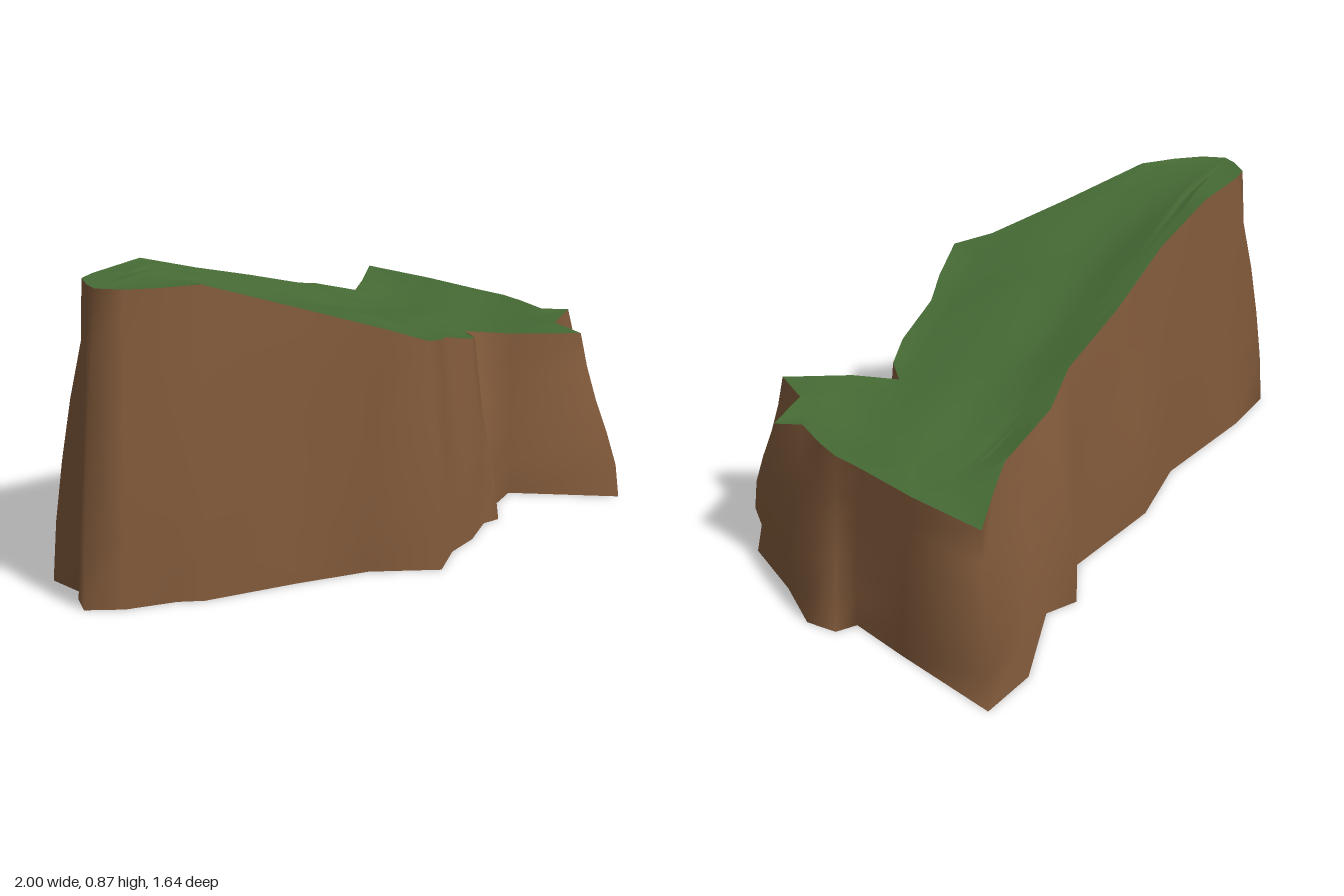
import * as THREE from 'three';
import { mergeVertices } from 'three/addons/utils/BufferGeometryUtils.js';

// Cliff outline as [x, z] pairs: foot on the ground and matching rim at the top.
const FOOT = [
  [0.76, -0.82], [0.84, -0.45], [0.88, -0.24], [0.95, -0.24], [1, -0.15], [0.97, 0.05], [0.96, 0.3], [0.9, 0.38],
  [0.86, 0.55], [0.58, 0.35], [0.47, 0.43], [0.41, 0.54], [0.35, 0.55], [0.24, 0.65], [0.13, 0.71], [0.02, 0.82],
  [-0.17, 0.73], [-0.4, 0.71], [-0.68, 0.7], [-0.75, 0.67], [-0.9, 0.65], [-1, 0.6], [-0.98, 0.52], [-0.95, 0.48],
  [-0.98, 0.35], [-0.8, 0.24], [-0.42, 0.07], [-0.2, -0.12], [0.15, -0.28], [0.26, -0.46], [0.37, -0.47], [0.58, -0.73],
];
const RIM = [
  [0.71, -0.71], [0.79, -0.45], [0.84, -0.23], [0.87, -0.12], [0.875, -0.03], [0.87, 0.1], [0.94, 0.15], [0.8, 0.27],
  [0.79, 0.42], [0.6, 0.32], [0.49, 0.22], [0.46, 0.32], [0.38, 0.41], [0.22, 0.52], [0.13, 0.63], [0.01, 0.75],
  [-0.1, 0.69], [-0.36, 0.64], [-0.63, 0.6], [-0.75, 0.58], [-0.84, 0.55], [-0.9, 0.5], [-0.9, 0.45], [-0.88, 0.37],
  [-0.83, 0.33], [-0.63, 0.22], [-0.4, 0.12], [-0.13, -0.05], [0.12, -0.18], [0.26, -0.31], [0.47, -0.41], [0.57, -0.53],
];

// Flat high end, straight ramp, flat low end.
const topHeight = (x) => 0.87 - 0.36 * THREE.MathUtils.clamp((x + 0.63) / 1.11, 0, 1);

function finish(name, positions, index, color) {
  let geo = new THREE.BufferGeometry();
  geo.setAttribute('position', new THREE.Float32BufferAttribute(positions, 3));
  if (index) geo.setIndex(index);
  geo = mergeVertices(geo, 1e-4);
  geo.computeVertexNormals();
  const mesh = new THREE.Mesh(geo, new THREE.MeshStandardMaterial({ color, side: THREE.DoubleSide }));
  mesh.name = name;
  return mesh;
}

// Rock wall: rings lofted from foot to rim, steep below and leaning in above.
function rockWall() {
  const rows = 5, n = FOOT.length, positions = [], index = [];
  for (let r = 0; r <= rows; r++) {
    const t = r / rows, lean = Math.pow(t, 1.5);
    for (let i = 0; i < n; i++) {
      const [fx, fz] = FOOT[i], [rx, rz] = RIM[i];
      // Small inward hollows make the face uneven
      const k = Math.min(1, lean + 0.22 * Math.sin(Math.PI * t) * Math.max(0, Math.sin(i * 2.3 + t * 2)));
      positions.push(fx + (rx - fx) * k, t * topHeight(rx), fz + (rz - fz) * k);
      if (r < rows) {
        const j = (i + 1) % n, a = r * n + i, b = r * n + j, c = a + n, d = b + n;
        index.push(a, c, b, b, c, d);
      }
    }
  }
  return finish('rockWall', positions, index, 0x80593a);
}

// Shortest distance from a point to the rim line.
function rimDistance(p) {
  const q = new THREE.Vector3(), line = new THREE.Line3();
  return Math.min(...RIM.map(([x, z], i) => {
    const [x2, z2] = RIM[(i + 1) % RIM.length];
    line.start.set(x, 0, z);
    line.end.set(x2, 0, z2);
    return line.closestPointToPoint(p, true, q).distanceTo(p);
  }));
}

// Grass: the rim polygon, split finely and dipped gently away from the edge.
function grassTop() {
  const corners = RIM.map(([x, z]) => new THREE.Vector3(x, 0, z));
  let tris = THREE.ShapeUtils.triangulateShape(RIM.map(([x, z]) => new THREE.Vector2(x, z)), [])
    .map(([a, b, c]) => [corners[a], corners[c], corners[b]]);
  const mid = (a, b) => a.clone().add(b).multiplyScalar(0.5);
  for (let level = 0; level < 3; level++) {
    tris = tris.flatMap(([a, b, c]) => {
      const ab = mid(a, b), bc = mid(b, c), ca = mid(c, a);
      return [[a, ab, ca], [ab, b, bc], [ca, bc, c], [ab, bc, ca]];
    });
  }
  const positions = tris.flat().flatMap((p) => {
    const inside = Math.min(1, rimDistance(p) / 0.2);
    const dip = 0.022 * inside * (1 + Math.sin(p.x * 8 + 1) * Math.cos(p.z * 9));
    return [p.x, topHeight(p.x) - dip, p.z];
  });
  return finish('grassTop', positions, null, 0x466b35);
}

export function createModel() {
  const group = new THREE.Group();
  group.name = 'cliff';
  group.add(rockWall(), grassTop());
  return group;
}
